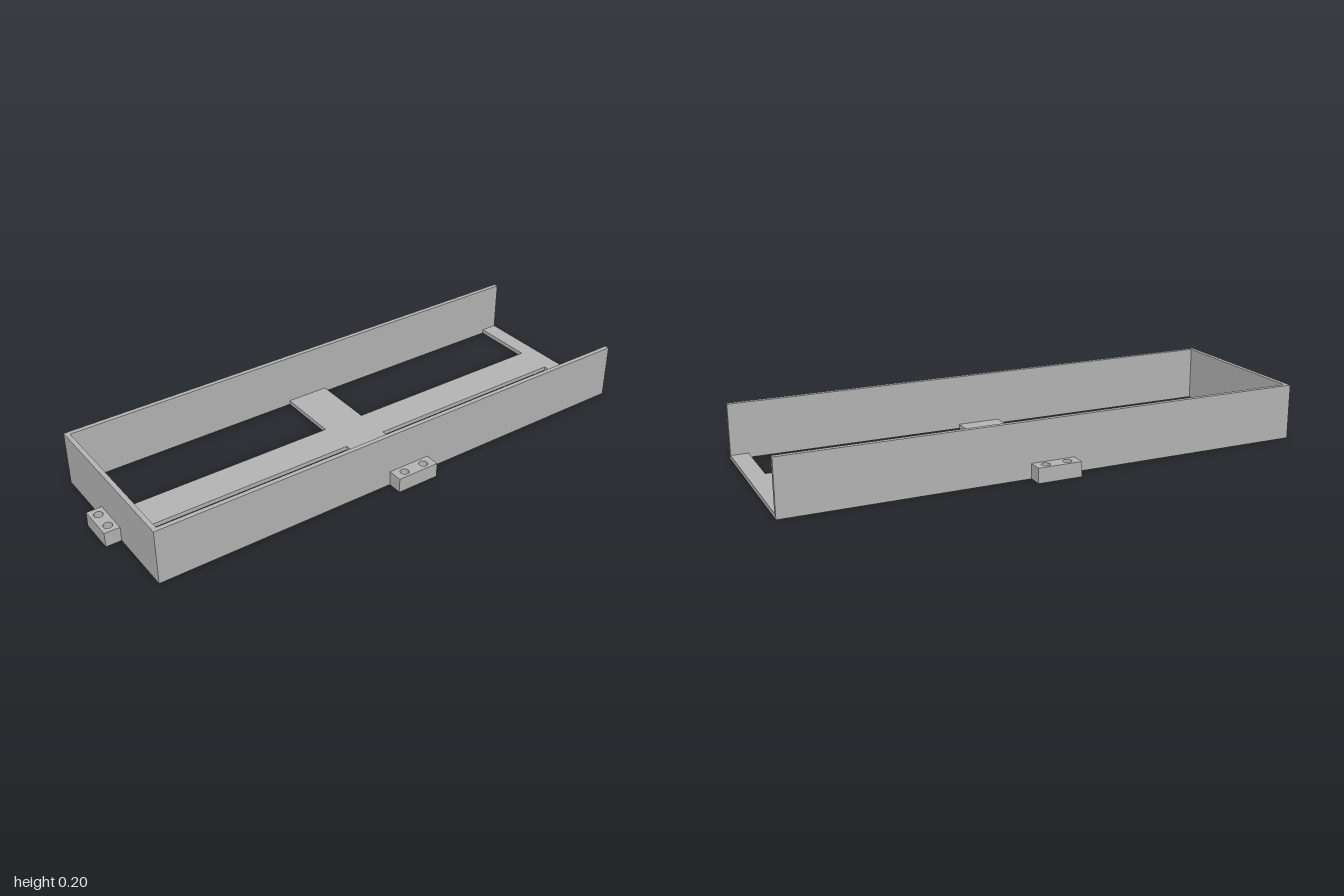
import * as THREE from 'three';

const HALF_W = 0.328, WALL = 0.017, HEIGHT = 0.205;
const BACK = -1, FRONT = 0.943, FLOOR = 0.016;
const SPINE = 0.068, BAR_BACK = -0.123, BAR_FRONT = 0.041;
const TAB = 0.055, HOLE_R = 0.016;

export function createModel() {
  const group = new THREE.Group();
  const grey = new THREE.MeshStandardMaterial({ color: 0xb2b2b2 });
  grey.name = 'grey';

  const add = (name, geometry) => {
    const mesh = new THREE.Mesh(geometry, grey);
    mesh.name = name;
    group.add(mesh);
  };
  const box = (name, x0, x1, y0, y1, z0, z1) => {
    const g = new THREE.BoxGeometry(x1 - x0, y1 - y0, z1 - z0);
    g.translate((x0 + x1) / 2, (y0 + y1) / 2, (z0 + z1) / 2);
    add(name, g);
  };
  // Extrudes an x/z outline upward from the ground
  const slab = (name, outline, height, holes = []) => {
    const shape = new THREE.Shape(outline.map(([x, z]) => new THREE.Vector2(x, -z)));
    for (const [x, z] of holes) {
      shape.holes.push(new THREE.Path().absarc(x, -z, HOLE_R, 0, Math.PI * 2, true));
    }
    const g = new THREE.ExtrudeGeometry(shape, { depth: height, bevelEnabled: false, curveSegments: 16 });
    g.rotateX(-Math.PI / 2);
    add(name, g);
  };
  const rect = (x0, x1, z0, z1) => [[x0, z0], [x0, z1], [x1, z1], [x1, z0]];

  // Side walls and front wall; the back stays open
  const inner = HALF_W - WALL, innerFront = FRONT - WALL;
  box('leftWall', inner, HALF_W, 0, HEIGHT, BACK, FRONT);
  box('rightWall', -HALF_W, -inner, 0, HEIGHT, BACK, FRONT);
  box('frontWall', -inner, inner, 0, HEIGHT, innerFront, FRONT);

  // Floor: back strip, spine and crossbar in one outline
  const half = [
    [inner, BACK], [inner, -0.936], [SPINE, -0.936], [SPINE, BAR_BACK],
    [inner, BAR_BACK], [inner, BAR_FRONT], [SPINE, BAR_FRONT], [SPINE, innerFront],
  ];
  slab('floorFrame', [...half, ...half.map(([x, z]) => [-x, z]).reverse()], FLOOR);

  // Mounting tabs, each with two through holes
  for (const s of [1, -1]) {
    const xs = [s * HALF_W, s * (HALF_W + TAB)].sort((a, b) => a - b);
    const hx = s * (HALF_W + TAB / 2);
    slab(s > 0 ? 'leftTab' : 'rightTab', rect(...xs, BAR_BACK, BAR_FRONT), TAB, [[hx, -0.083], [hx, -0.001]]);
  }
  slab('frontTab', rect(-SPINE, SPINE, FRONT, 1), TAB, [[-0.035, 0.971], [0.035, 0.971]]);

  return group;
}
